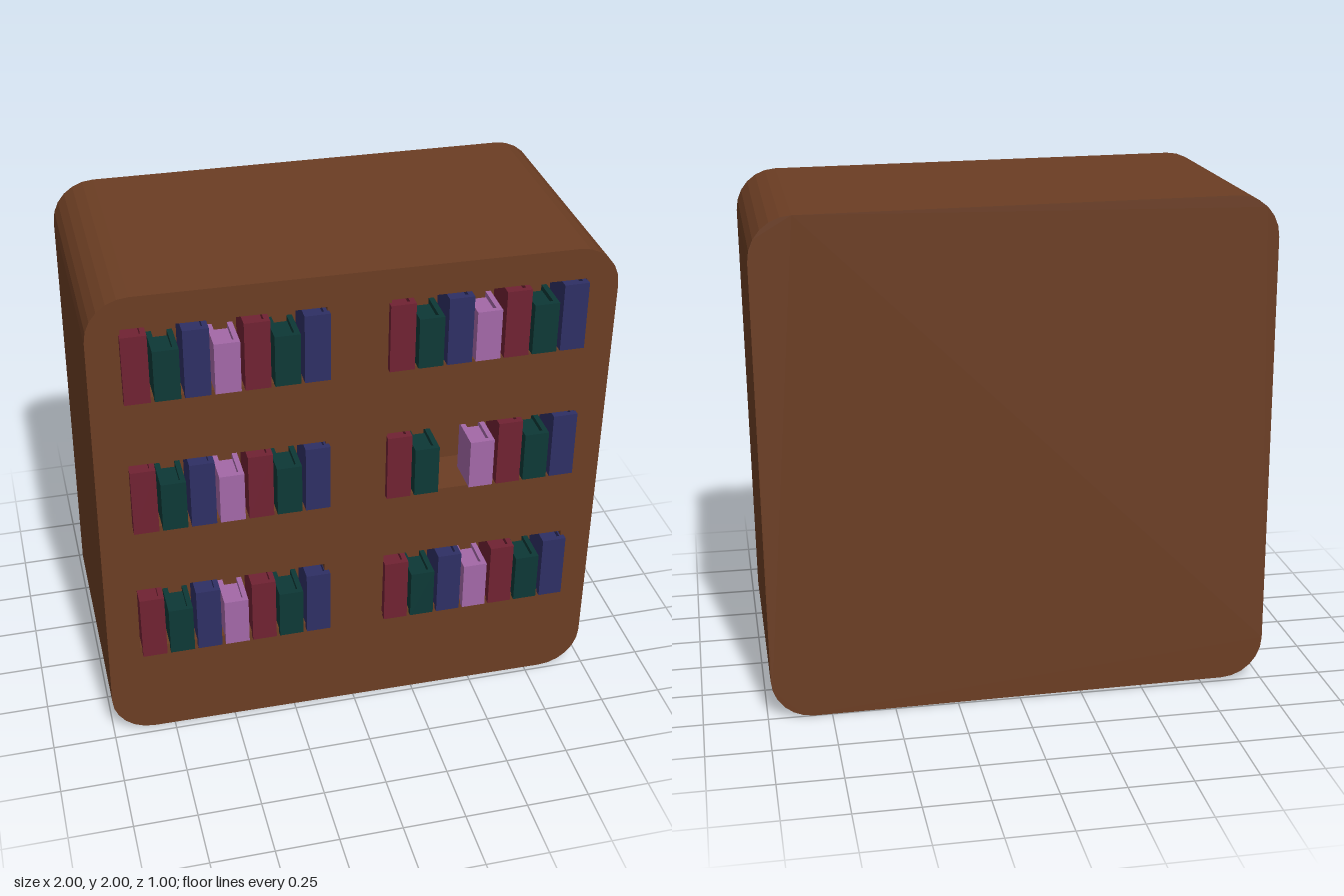
import * as THREE from 'three';

const mat = (name, color) => {
  const m = new THREE.MeshStandardMaterial({ color });
  m.name = name;
  return m;
};

// Square outline with rounded corners of three facets each
function roundedOutline(h, r) {
  const s = new THREE.Shape();
  const c = h - r;
  s.absarc(c, c, r, 0, Math.PI / 2);
  s.absarc(-c, c, r, Math.PI / 2, Math.PI);
  s.absarc(-c, -c, r, Math.PI, Math.PI * 1.5);
  s.absarc(c, -c, r, Math.PI * 1.5, Math.PI * 2);
  s.closePath();
  return s;
}

function rectHole(x0, x1, y0, y1) {
  const p = new THREE.Path();
  p.moveTo(x0, y0).lineTo(x0, y1).lineTo(x1, y1).lineTo(x1, y0).closePath();
  return p;
}

export function createModel() {
  const model = new THREE.Group();
  model.name = 'bookcase';
  const wood = mat('brown wood', 0x6b3d23);
  const red = mat('dark red', 0x702232);
  const green = mat('dark green', 0x0d3836);
  const blue = mat('navy blue', 0x2e2f64);
  const purple = mat('light purple', 0xa368a7);

  // Cabinet, leaning very slightly
  const cabinet = new THREE.Group();
  cabinet.name = 'cabinet';
  cabinet.position.y = 1;
  cabinet.rotation.z = -0.009;
  model.add(cabinet);

  const half = 0.992, radius = 0.165, nicheBack = 0.27, front = 0.48, back = -0.5;
  const slab = (name, shape, z0, z1) => {
    const geo = new THREE.ExtrudeGeometry(shape, { depth: z1 - z0, bevelEnabled: false, curveSegments: 3 });
    const mesh = new THREE.Mesh(geo, wood);
    mesh.name = name;
    mesh.position.z = z0;
    cabinet.add(mesh);
  };

  // Front part with six shelf niches, solid part behind
  const face = roundedOutline(half, radius);
  for (const [y0, y1] of [[0.577, 0.867], [0.003, 0.292], [-0.575, -0.287]]) {
    face.holes.push(rectHole(-0.865, -0.12, y0, y1), rectHole(0.12, 0.865, y0, y1));
  }
  slab('shelfFront', face, nicheBack, front);
  slab('cabinetBack', roundedOutline(half, radius), back, nicheBack);

  // Book: spine, two covers and a page block set slightly lower
  const W = 0.096, D = 0.15, T = 0.02, Z = 0.505;
  function makeBook(height, material) {
    const book = new THREE.Group();
    book.name = 'book';
    const part = (name, w, h, d, x, z) => {
      const mesh = new THREE.Mesh(new THREE.BoxGeometry(w, h, d), material);
      mesh.name = name;
      mesh.position.set(x, h / 2, z);
      book.add(mesh);
    };
    part('spine', W, height, T, 0, -T / 2);
    for (const s of [-1, 1]) part('cover', T, height, D - T, s * (W - T) / 2, -(D + T) / 2);
    part('pages', W - 2 * T, height - 0.02, D - T - 0.01, 0, -(D + T - 0.01) / 2);
    return book;
  }

  // Seven books on each shelf, with one missing
  const order = [[red, 0.277], [green, 0.207], [blue, 0.277], [purple, 0.207], [red, 0.277], [green, 0.207], [blue, 0.277]];
  [1.577, 1.005, 0.406].forEach((y, row) => {
    [-0.815, 0.166].forEach((x, side) => {
      order.forEach(([material, height], i) => {
        if (row === 1 && side === 1 && i === 2) return;
        const book = makeBook(height, material);
        book.position.set(x + i * 0.1103, y, Z);
        model.add(book);
      });
    });
  });

  return model;
}
